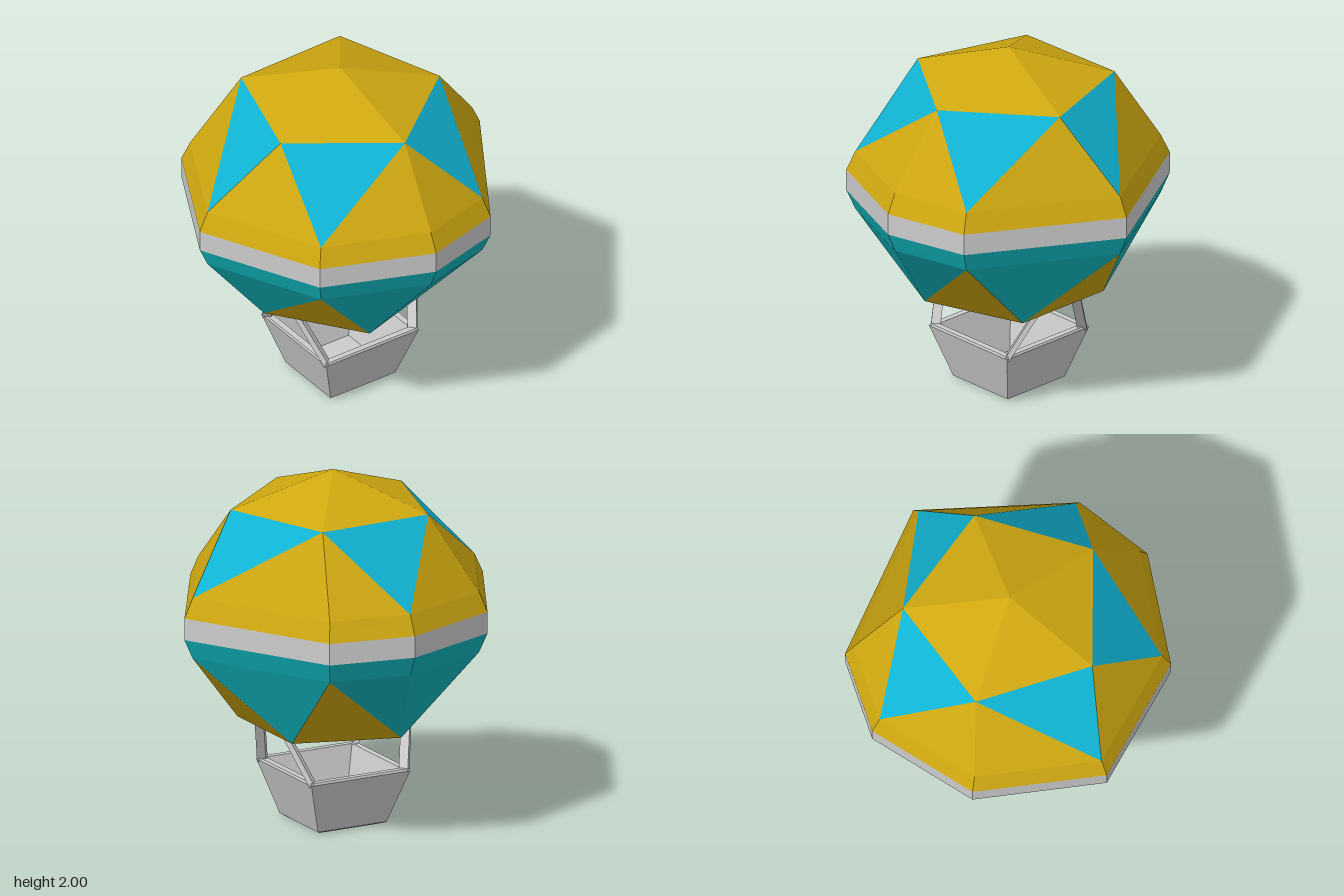
import * as THREE from 'three';

const mat = (color) => new THREE.MeshStandardMaterial({ color, flatShading: true });
const V = (x, y, z) => new THREE.Vector3(x, y, z);

// Mesh from triangles, each wound to face away from (or towards) the balloon centre
function facets(name, tris, material, inward = false) {
  const centre = V(0, 1.15, 0);
  const points = [];
  for (const [a, b, c] of tris) {
    const normal = b.clone().sub(a).cross(c.clone().sub(a));
    const mid = a.clone().add(b).add(c).divideScalar(3).sub(centre);
    const flip = (normal.dot(mid) < 0) !== inward;
    points.push(...(flip ? [a, c, b] : [a, b, c]));
  }
  const geometry = new THREE.BufferGeometry().setFromPoints(points);
  geometry.computeVertexNormals();
  const mesh = new THREE.Mesh(geometry, material);
  mesh.name = name;
  return mesh;
}

export function createModel() {
  const model = new THREE.Group();
  model.name = 'hotAirBalloon';
  const grey = mat(0xcccccc);
  const gold = mat(0xcfa810);
  const cyan = mat(0x10b4d4);
  const teal = mat(0x10b4bc);

  // Eight-sided plan of the envelope, from +x round through +z
  const plan = [[0.935, 0], [0.46, 0.78], [0, 0.915], [-0.6, 0.66],
    [-0.94, 0], [-0.6, -0.66], [0, -0.915], [0.46, -0.78]];
  const ring = (y, s) => plan.map(([x, z], i) => V(x * s, y - (i % 2 ? 0.013 : 0), z * s));
  const shoulder = ring(1.39, 0.945);
  const bandTop = ring(1.28, 1);
  const bandBottom = ring(1.157, 1);
  const hip = ring(1.045, 0.945);

  // Five-sided crown and mouth
  const crown = [[0.56, 0.15], [0.03, 0.575], [-0.53, 0.185], [-0.34, -0.46], [0.335, -0.48]]
    .map(([x, z]) => V(x, 1.81, z));
  const mouth = [[0.43, 0.305], [-0.15, 0.495], [-0.51, 0], [-0.15, -0.495], [0.43, -0.305]]
    .map(([x, z]) => V(x, 0.57, z));

  const fan = (apex, loop) => loop.map((p, i) => [apex, p, loop[(i + 1) % loop.length]]);
  const strip = (lo, hi) => lo.flatMap((p, i) => {
    const j = (i + 1) % lo.length;
    return [[p, lo[j], hi[j]], [p, hi[j], hi[i]]];
  });
  // Joins a pentagon to an octagon: panels hang on corners, darts on edges
  const join = (five, eight, spans) => {
    const panels = [], darts = [];
    spans.forEach((span, k) => {
      for (let n = 0; n + 1 < span.length; n++) panels.push([five[k], eight[span[n]], eight[span[n + 1]]]);
      darts.push([five[k], five[(k + 1) % 5], eight[span[span.length - 1]]]);
    });
    return { panels, darts };
  };
  const upper = join(crown, shoulder, [[0, 1], [1, 2, 3], [3, 4], [4, 5, 6], [6, 7, 0]]);
  const lower = join(mouth, hip, [[0, 1], [1, 2, 3], [3, 4, 5], [5, 6, 7], [7, 0]]);

  const envelope = new THREE.Group();
  envelope.name = 'envelope';
  envelope.add(
    facets('upperPanels', [...fan(V(0, 2, 0), crown), ...upper.panels, ...strip(bandTop, shoulder)], gold),
    facets('upperDarts', upper.darts, cyan),
    facets('waistBand', strip(bandBottom, bandTop), grey),
    facets('lowerPanels', [...strip(hip, bandBottom), ...lower.panels], teal),
    facets('lowerDarts', lower.darts, gold),
    // Recessed underside
    facets('mouthLining', fan(V(0, 0.75, 0), mouth), grey),
  );
  model.add(envelope);

  // Hollow square basket with a rounded foot and a flat rim
  const profile = [[0, 0], [0.2, 0], [0.216, 0.01], [0.224, 0.035], [0.31, 0.31], [0.305, 0.323],
    [0.27, 0.323], [0.19, 0.04], [0, 0.04]].map(([r, y]) => new THREE.Vector2(r * Math.SQRT2, y));
  const basket = new THREE.Mesh(new THREE.LatheGeometry(profile, 4, Math.PI / 4), grey);
  basket.name = 'basket';
  model.add(basket);

  // Four flat struts from the basket corners to the envelope
  for (const sx of [-1, 1]) {
    for (const sz of [-1, 1]) {
      const from = V(sx * 0.285, 0.3, sz * 0.285);
      const to = V(sx * 0.392, 0.61, sz * 0.125);
      const along = to.clone().sub(from);
      const length = along.length();
      along.normalize();
      const side = V(-sz, 0, sx).cross(along).normalize();
      const strut = new THREE.Mesh(new THREE.BoxGeometry(0.052, length, 0.03), grey);
      strut.name = 'strut';
      strut.quaternion.setFromRotationMatrix(
        new THREE.Matrix4().makeBasis(side, along, side.clone().cross(along)));
      strut.position.copy(from).add(to).multiplyScalar(0.5);
      model.add(strut);
    }
  }

  // Burner
  const burner = new THREE.Mesh(new THREE.CapsuleGeometry(0.02, 0.17, 4, 10),
    new THREE.MeshStandardMaterial({ color: 0xcccccc }));
  burner.name = 'burner';
  burner.position.y = 0.635;
  model.add(burner);

  return model;
}
